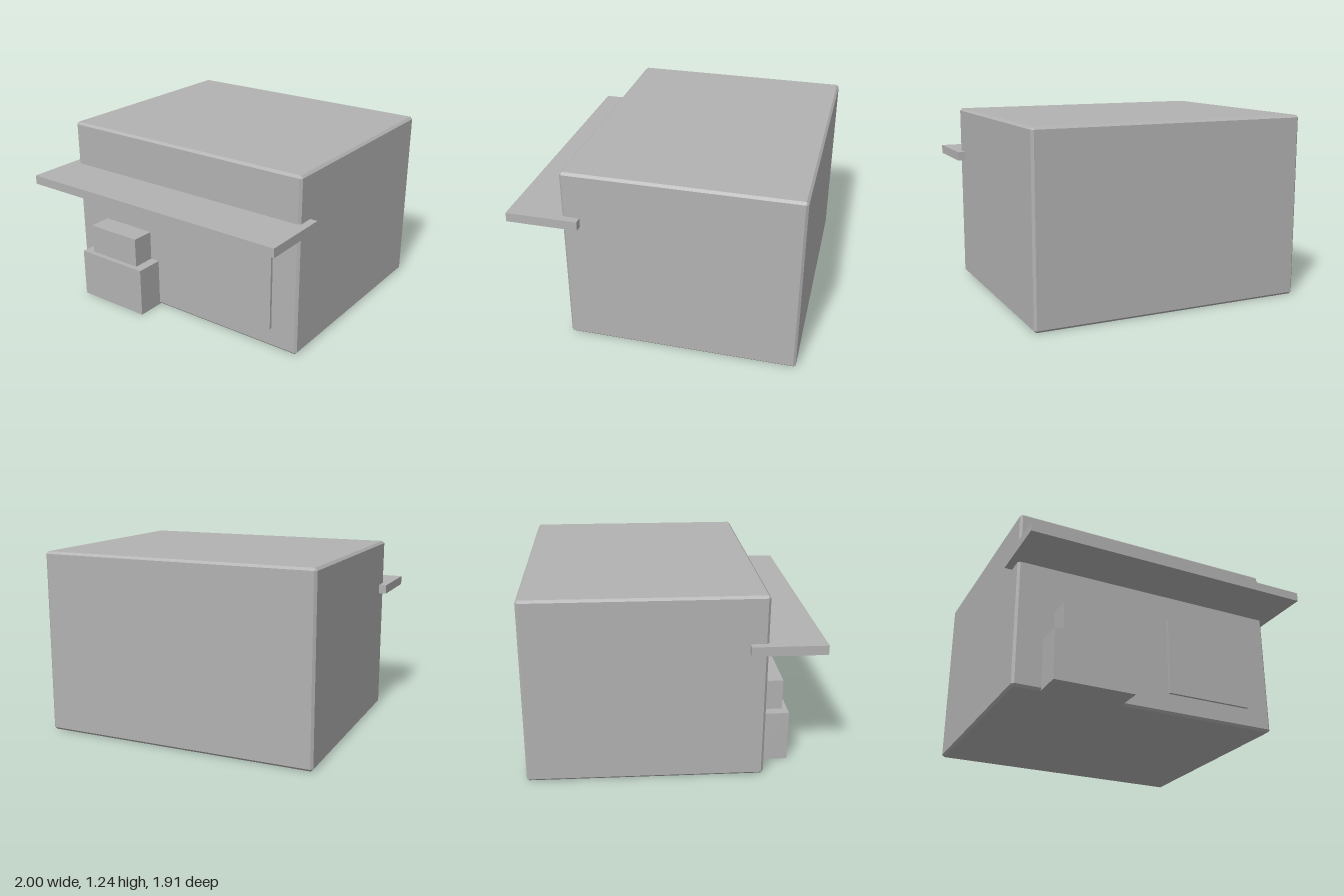
import * as THREE from 'three';
import { ConvexGeometry } from 'three/addons/geometries/ConvexGeometry.js';

const grey = new THREE.MeshStandardMaterial({ color: 0xb2b2b2 });
grey.name = 'grey';

// Box given by its lower and upper corners
function block(name, [x0, y0, z0], [x1, y1, z1]) {
  const geometry = new THREE.BoxGeometry(x1 - x0, y1 - y0, z1 - z0);
  geometry.translate((x0 + x1) / 2, (y0 + y1) / 2, (z0 + z1) / 2);
  const mesh = new THREE.Mesh(geometry, grey);
  mesh.name = name;
  return mesh;
}

// Box with every edge and corner cut flat: three points at each corner
function chamferedBox(w, h, d, c) {
  const points = [];
  for (const sx of [-1, 1]) for (const sy of [-1, 1]) for (const sz of [-1, 1]) {
    for (let full = 0; full < 3; full++) {
      const [x, y, z] = [w, h, d].map((size, axis) => size / 2 - (axis === full ? 0 : c));
      points.push(new THREE.Vector3(sx * x, sy * y, sz * z));
    }
  }
  return new ConvexGeometry(points);
}

export function createModel() {
  const model = new THREE.Group();
  model.name = 'shop';

  // Main building
  const building = new THREE.Mesh(chamferedBox(1.896, 1.24, 1.55, 0.016), grey);
  building.name = 'building';
  building.position.set(0, 0.62, -0.182);
  model.add(building);

  // Canopy across the front
  model.add(block('canopy', [-1, 0.866, 0.474], [1, 0.928, 0.957]));

  // Stepped counter against the front wall
  model.add(block('counterBase', [-0.757, 0, 0.57], [-0.207, 0.345, 0.787]));
  model.add(block('counterTop', [-0.687, 0.345, 0.57], [-0.275, 0.553, 0.752]));

  // Shallow window panel
  model.add(block('windowPanel', [0.14, 0.14, 0.58], [0.757, 0.691, 0.612]));

  return model;
}
